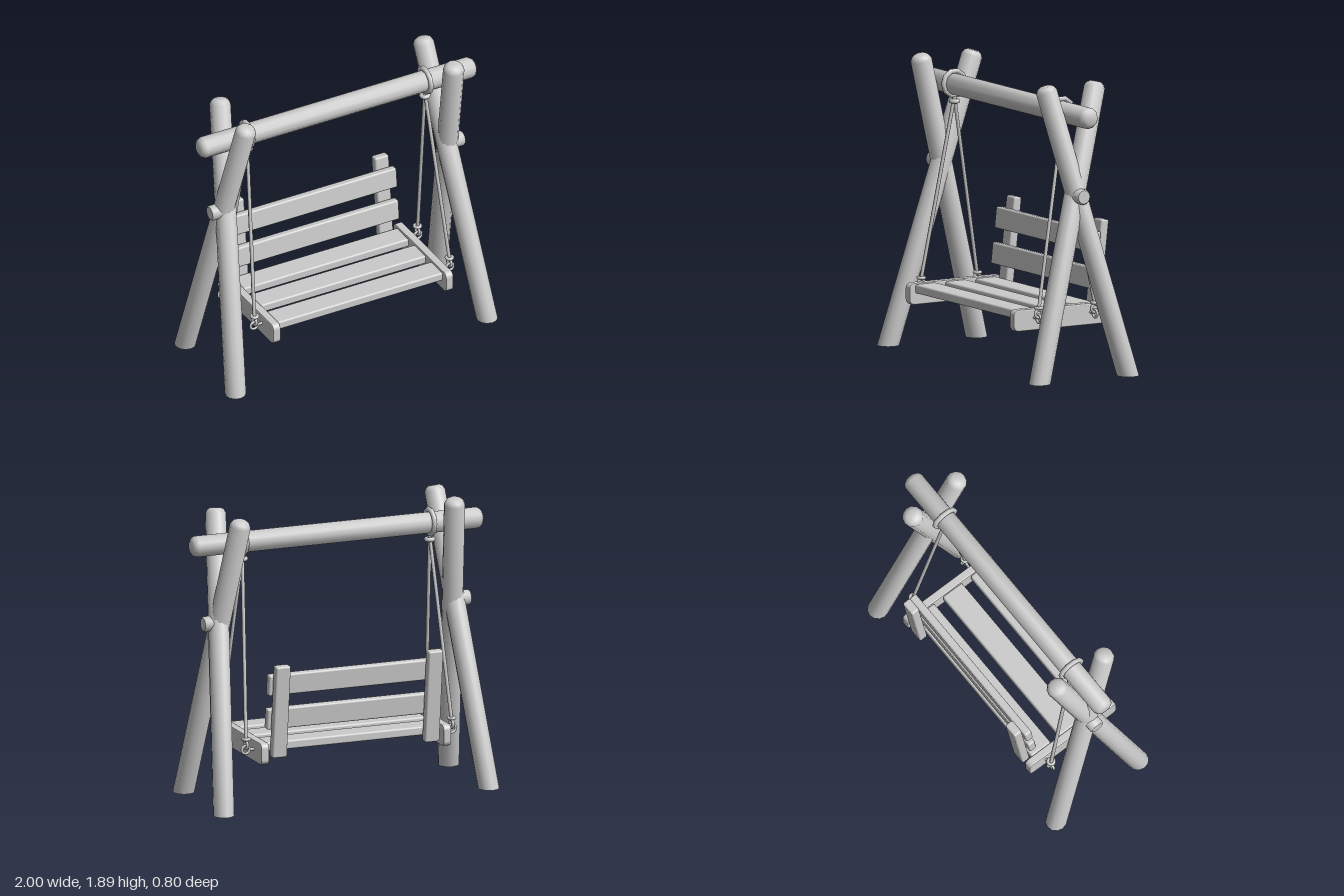
import * as THREE from 'three';
import { RoundedBoxGeometry } from 'three/addons/geometries/RoundedBoxGeometry.js';
import { toCreasedNormals } from 'three/addons/utils/BufferGeometryUtils.js';

const V = (x, y, z) => new THREE.Vector3(x, y, z);
const UP = V(0, 1, 0);
const grey = new THREE.MeshStandardMaterial({ color: 0xcccccc });
const greyOpen = new THREE.MeshStandardMaterial({ color: 0xcccccc, side: THREE.DoubleSide });

export function createModel() {
  const root = new THREE.Group();

  const add = (parent, name, geometry, material = grey) => {
    const mesh = new THREE.Mesh(geometry, material);
    mesh.name = name;
    parent.add(mesh);
    return mesh;
  };

  // A solid of revolution whose axis runs from a to b
  const turned = (profile, a, b, sides) => {
    const g = new THREE.LatheGeometry(profile.map(([r, y]) => new THREE.Vector2(r, y)), sides);
    g.applyQuaternion(new THREE.Quaternion().setFromUnitVectors(UP, b.clone().sub(a).normalize()));
    return g.translate(a.x, a.y, a.z);
  };
  const roundEnd = (r, L) => [[r, L - 0.035], [r * 0.82, L - 0.012], [r * 0.55, L], [0, L]];
  const roundStart = (r) => roundEnd(r, 0).reverse().map(([q, y]) => [q, -y]);
  const rod = (a, b, r, sides = 8) => {
    const L = a.distanceTo(b);
    return turned([[0, 0], [r, 0], [r, L], [0, L]], a, b, sides);
  };

  const box = (parent, name, w, h, d, x, y, z, r = 0.012) => {
    const mesh = add(parent, name, new RoundedBoxGeometry(w, h, d, 2, r));
    mesh.position.set(x, y, z);
    return mesh;
  };
  const ring = (parent, name, R, tube, pos, axis, around = 16) => {
    const mesh = add(parent, name, new THREE.TorusGeometry(R, tube, 8, around));
    if (axis === 'x') mesh.rotation.y = Math.PI / 2;
    if (axis === 'y') mesh.rotation.x = Math.PI / 2;
    mesh.position.copy(pos);
    return mesh;
  };

  // Log leg, trimmed level with the ground
  const legGeometry = (a, b) => {
    const r = 0.068, L = a.distanceTo(b);
    const g = turned([[r, 0], ...roundEnd(r, L)], a, b, 12);
    const dir = b.clone().sub(a).normalize();
    const p = g.attributes.position;
    for (let i = 0; i < p.count; i++) {
      const v = V().fromBufferAttribute(p, i);
      if (v.y < 0.1) {
        v.addScaledVector(dir, -v.y / dir.y);
        p.setXYZ(i, v.x, v.y, v.z);
      }
    }
    return toCreasedNormals(g, 0.9);
  };

  // Frame: crossed legs, pegs and the top beam
  const frame = new THREE.Group();
  frame.name = 'frame';
  root.add(frame);
  for (const s of [-1, 1]) {
    const side = s > 0 ? 'left' : 'right';
    add(frame, side + 'FrontLeg', legGeometry(V(s * 0.912, 0, 0.33), V(s * 0.735, 1.88, -0.197)), greyOpen);
    add(frame, side + 'BackLeg', legGeometry(V(s * 0.912, 0, -0.33), V(s * 0.752, 1.88, 0.19)), greyOpen);
    const peg = [[0, 0], [0.05, 0], [0.05, 0.145], [0.043, 0.155], [0, 0.155]];
    add(frame, side + 'Peg', toCreasedNormals(
      turned(peg, V(s * 0.762, 1.175, 0), V(s * 0.917, 1.175, 0), 16), 0.9));
  }
  const beamR = 0.07;
  add(frame, 'topBeam', toCreasedNormals(
    turned([...roundStart(beamR), ...roundEnd(beamR, 2)], V(-1, 1.69, 0), V(1, 1.69, 0), 12), 0.9));

  // Bench
  const bench = new THREE.Group();
  bench.name = 'bench';
  root.add(bench);

  // Side boards with rounded ends
  const h = 0.07, d = 0.35, c = 0.035;
  const outline = new THREE.Shape();
  outline.absarc(d - c, h - c, c, 0, Math.PI / 2);
  outline.absarc(-d + c, h - c, c, Math.PI / 2, Math.PI);
  outline.absarc(-d + c, -h + c, c, Math.PI, Math.PI * 1.5);
  outline.absarc(d - c, -h + c, c, Math.PI * 1.5, Math.PI * 2);
  const boardGeometry = new THREE.ExtrudeGeometry(outline, {
    depth: 0.039, bevelThickness: 0.008, bevelSize: 0.008, bevelOffset: -0.008,
    bevelSegments: 2, curveSegments: 5,
  });
  boardGeometry.translate(0, 0, -0.0195).rotateY(Math.PI / 2);
  for (const s of [-1, 1]) {
    add(bench, s > 0 ? 'leftSideBoard' : 'rightSideBoard', boardGeometry).position.set(s * 0.627, 0.371, 0.012);
  }

  // Seat slats
  for (const z of [0.247, 0.022, -0.203]) box(bench, 'seatSlat', 1.2, 0.058, 0.155, 0, 0.405, z);

  // Leaning backrest: posts and slats share one tilt
  const lean = -0.11;
  for (const s of [-1, 1]) {
    box(bench, 'backPost', 0.1, 0.615, 0.058, s * 0.525, 0.647, -0.338).rotation.x = lean;
  }
  for (const [y, z] of [[0.815, -0.297], [0.588, -0.27]]) {
    box(bench, 'backSlat', 1.19, 0.138, 0.052, 0, y, z).rotation.x = lean;
  }

  // Hanging gear: beam loop, knots, ropes and eye bolts
  for (const s of [-1, 1]) {
    const gear = new THREE.Group();
    gear.name = s > 0 ? 'leftHangingGear' : 'rightHangingGear';
    root.add(gear);
    ring(gear, 'beamLoop', 0.08, 0.017, V(s * 0.647, 1.695, 0), 'x', 10);
    ring(gear, 'upperKnot', 0.022, 0.015, V(s * 0.645, 1.58, 0), 'y');
    for (const t of [-1, 1]) {
      const z = t * 0.21;
      add(gear, 'rope', rod(V(s * 0.645, 1.61, 0), V(s * 0.708, 0.44, z), 0.012));
      ring(gear, 'lowerKnot', 0.02, 0.011, V(s * 0.707, 0.452, z), 'y');
      ring(gear, 'ropeLoop', 0.026, 0.01, V(s * 0.708, 0.415, z), 'x');
      ring(gear, 'eyeBolt', 0.026, 0.009, V(s * 0.71, 0.383, z), 'z');
      add(gear, 'boltShank', rod(V(s * 0.64, 0.383, z), V(s * 0.688, 0.383, z), 0.01));
    }
  }
  return root;
}
